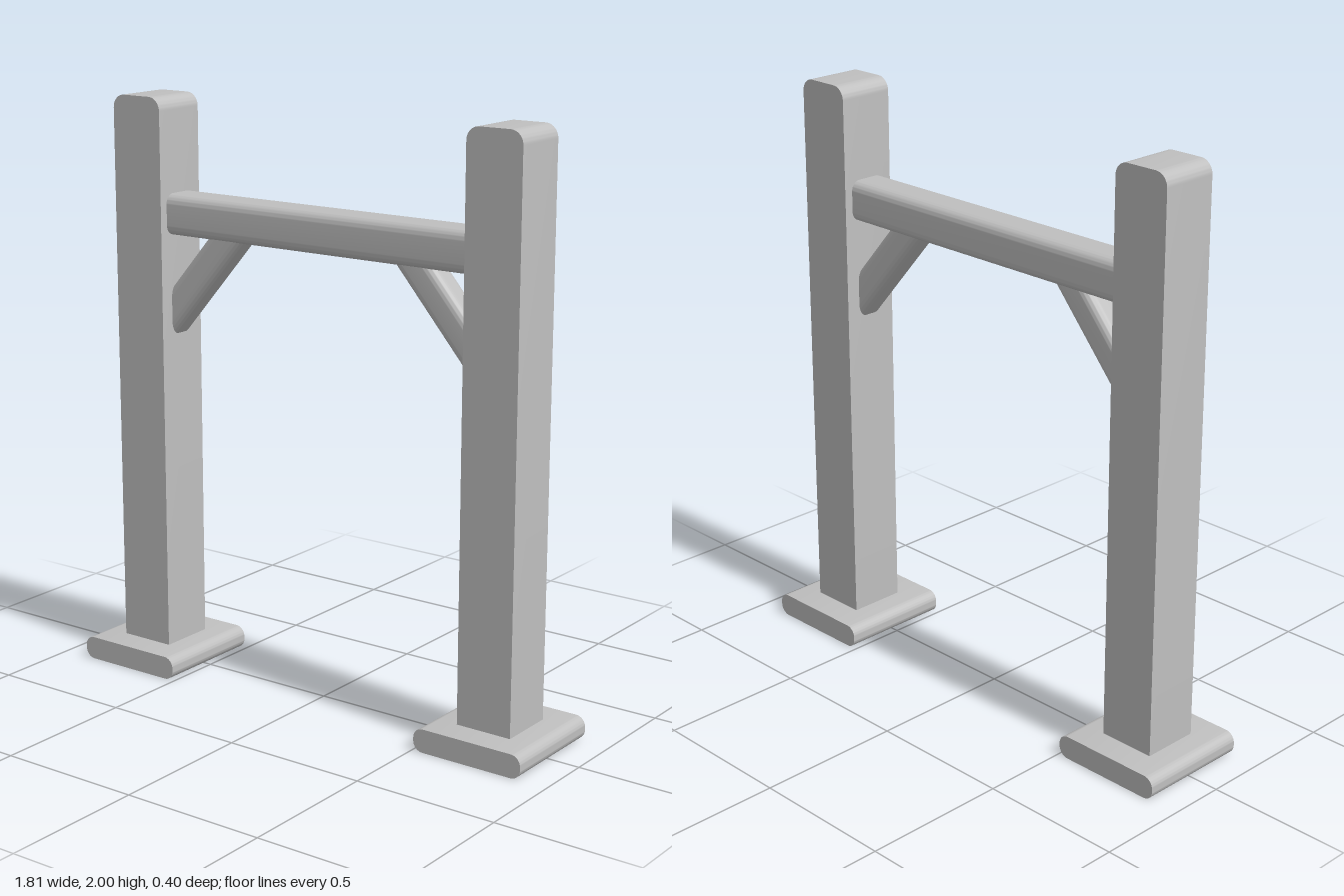
import * as THREE from 'three';
import { toCreasedNormals } from 'three/addons/utils/BufferGeometryUtils.js';

// Rectangle outline centred on the origin; rTop and rBottom round its corners
function outline(w, h, rTop, rBottom) {
  const x = w / 2, y = h / 2, s = new THREE.Shape();
  s.moveTo(-x + rBottom, -y);
  s.lineTo(x - rBottom, -y);
  if (rBottom) s.absarc(x - rBottom, -y + rBottom, rBottom, -Math.PI / 2, 0);
  s.lineTo(x, y - rTop);
  if (rTop) s.absarc(x - rTop, y - rTop, rTop, 0, Math.PI / 2);
  s.lineTo(-x + rTop, y);
  if (rTop) s.absarc(-x + rTop, y - rTop, rTop, Math.PI / 2, Math.PI);
  s.lineTo(-x, -y + rBottom);
  if (rBottom) s.absarc(-x + rBottom, -y + rBottom, rBottom, Math.PI, Math.PI * 1.5);
  return s;
}

// Bar with the given outline, centred along z
function bar(w, h, length, rTop, rBottom) {
  const g = new THREE.ExtrudeGeometry(outline(w, h, rTop, rBottom), {
    depth: length, bevelEnabled: false, curveSegments: 6,
  });
  g.translate(0, 0, -length / 2);
  return toCreasedNormals(g, 0.6);
}

export function createModel() {
  const model = new THREE.Group();
  const grey = new THREE.MeshStandardMaterial({ color: 0xbfbfbf });
  grey.name = 'grey';

  const add = (name, geometry, x, y) => {
    const mesh = new THREE.Mesh(geometry, grey);
    mesh.name = name;
    mesh.position.set(x, y, 0);
    model.add(mesh);
    return mesh;
  };

  const angle = Math.atan2(0.35, 0.305); // slope of the braces
  for (const side of [-1, 1]) {
    const prefix = side > 0 ? 'left' : 'right';
    // Foot plate and post
    add(prefix + 'Foot', bar(0.4, 0.08, 0.4, 0.035, 0.035), side * 0.705, 0.04);
    add(prefix + 'Post', bar(0.2, 1.93, 0.2, 0.045, 0), side * 0.705, 1.035);
    // Diagonal brace, its ends sunk into the post and the beam
    const brace = bar(0.1, 0.115, 0.495, 0.03, 0.03);
    brace.rotateY(Math.PI / 2);
    brace.rotateZ(-side * angle);
    add(prefix + 'Brace', brace, side * 0.49, 1.41);
  }

  // Crossbeam between the posts
  const beam = bar(0.14, 0.14, 1.24, 0.034, 0.034);
  beam.rotateY(Math.PI / 2);
  add('crossbeam', beam, 0, 1.605);

  return model;
}
